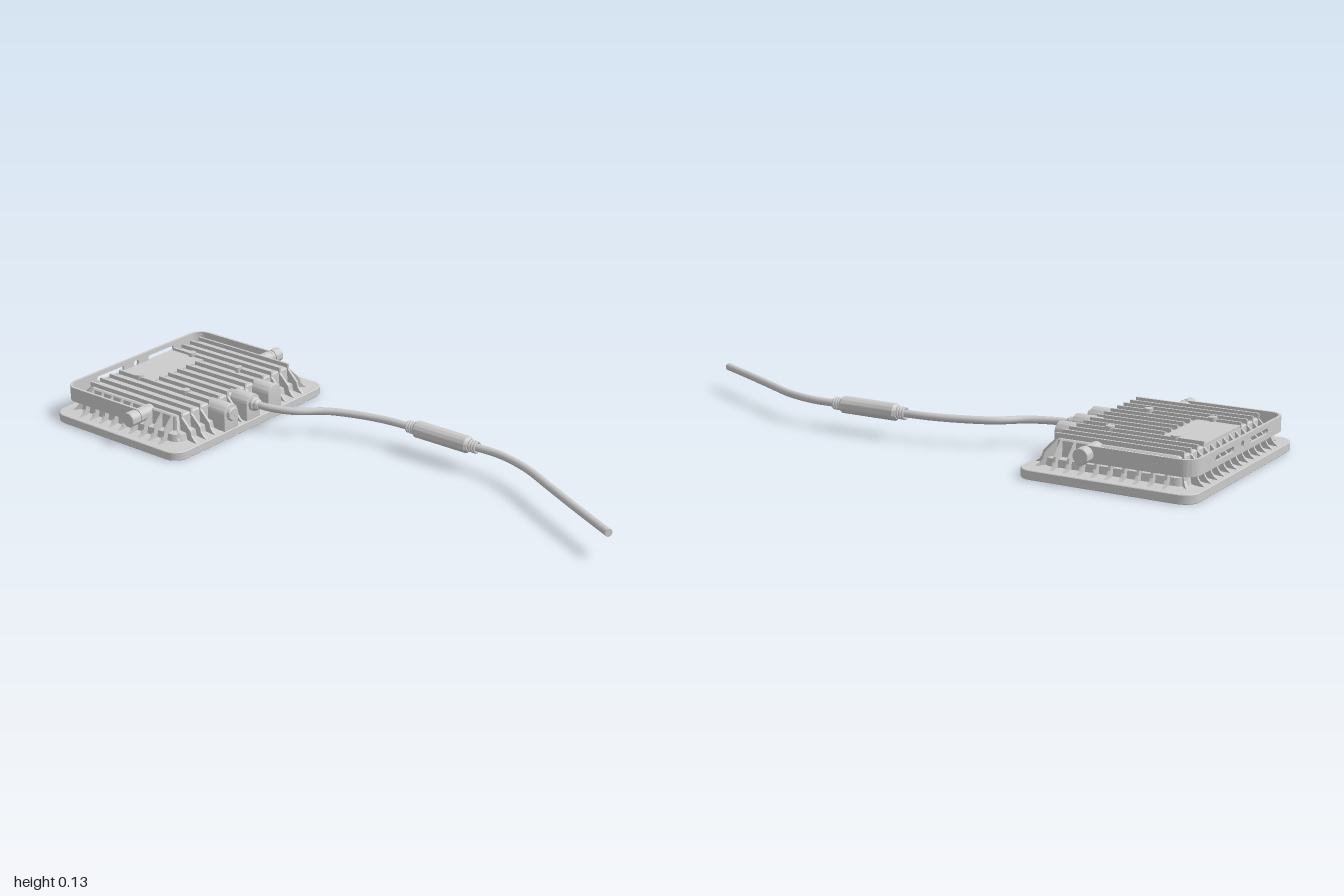
import * as THREE from 'three';
import { toCreasedNormals } from 'three/addons/utils/BufferGeometryUtils.js';

const CZ = -0.715; // centre of the lamp in z
const mat = new THREE.MeshStandardMaterial({ color: 0xcccccc, side: THREE.DoubleSide });

function add(parent, name, geometry, x = 0, y = 0, z = 0) {
  const m = new THREE.Mesh(geometry, mat);
  m.name = name;
  m.position.set(x, y, z);
  parent.add(m);
  return m;
}

// Skin through stacked rounded rectangles, each [halfX, halfZ, radius, y]
function loftRoundedRects(rings, seg = 6) {
  const pos = [], index = [], n = 4 * (seg + 1);
  for (const [hx, hz, r, y] of rings) {
    for (let c = 0; c < 4; c++) {
      const sx = c === 0 || c === 3 ? 1 : -1, sz = c < 2 ? 1 : -1;
      for (let k = 0; k <= seg; k++) {
        const a = (c + k / seg) * Math.PI / 2;
        pos.push(sx * (hx - r) + r * Math.cos(a), y, sz * (hz - r) + r * Math.sin(a));
      }
    }
  }
  for (let i = 0; i < rings.length - 1; i++) {
    for (let j = 0; j < n; j++) {
      const a = i * n + j, b = i * n + (j + 1) % n;
      index.push(a, a + n, b, b, a + n, b + n);
    }
  }
  const g = new THREE.BufferGeometry();
  g.setAttribute('position', new THREE.Float32BufferAttribute(pos, 3));
  g.setIndex(index);
  return toCreasedNormals(g, 0.6);
}

// Turned part from [radius, height] pairs, laid along +z
function turnedZ(points, seg = 28) {
  const g = new THREE.LatheGeometry(points.map(p => new THREE.Vector2(...p)), seg);
  return toCreasedNormals(g.rotateX(Math.PI / 2), 0.6);
}

function extrude(shape, depth, bevel = 0) {
  return new THREE.ExtrudeGeometry(shape, {
    depth, bevelEnabled: bevel > 0, bevelSize: bevel, bevelThickness: bevel, bevelSegments: 3, curveSegments: 14,
  });
}

function polygon(points) {
  return new THREE.Shape(points.map(p => new THREE.Vector2(...p)));
}

function slot(x, y, length, r) {
  const h = length / 2 - r, p = new THREE.Path();
  p.absarc(x + h, y, r, -Math.PI / 2, Math.PI / 2);
  p.absarc(x - h, y, r, Math.PI / 2, Math.PI * 1.5);
  p.closePath();
  return p;
}

function buildHousing() {
  const lamp = new THREE.Group();
  lamp.name = 'lampHousing';
  lamp.position.z = CZ;

  // Shell: shallow dished lens, frame lip, flange, stepped body, top
  add(lamp, 'housingShell', loftRoundedRects([
    [0.002, 0.002, 0.001, 0.034], [0.12, 0.08, 0.03, 0.033], [0.24, 0.165, 0.035, 0.028],
    [0.3, 0.217, 0.035, 0.02], [0.322, 0.236, 0.035, 0.012], [0.326, 0.239, 0.035, 0],
    [0.375, 0.283, 0.048, 0], [0.377, 0.285, 0.05, 0.002], [0.377, 0.285, 0.05, 0.027],
    [0.375, 0.283, 0.048, 0.029], [0.345, 0.256, 0.04, 0.029], [0.313, 0.233, 0.035, 0.032],
    [0.309, 0.229, 0.035, 0.055], [0.287, 0.209, 0.03, 0.058], [0.284, 0.207, 0.03, 0.106],
    [0.28, 0.203, 0.027, 0.11], [0.002, 0.002, 0.001, 0.11],
  ]));

  // Long cooling fins on top; the middle ones stop at a flat pad
  for (let i = -6; i <= 6; i++) {
    const back = Math.abs(i) <= 2 ? -0.06 : -0.207;
    const len = 0.21 - back;
    add(lamp, 'topFin', new THREE.BoxGeometry(0.008, 0.025, len), i * 0.0445, 0.1115, back + len / 2);
  }
  add(lamp, 'topPad', new THREE.BoxGeometry(0.262, 0.01, 0.145), 0, 0.11, -0.134);

  // Gusset fins around the walls, profile as [outward, up]
  const gusset = extrude(polygon([
    [-0.006, 0.03], [0.07, 0.028], [0.055, 0.038], [0.046, 0.05], [0.042, 0.066], [0.002, 0.106], [-0.006, 0.106],
  ]), 0.008).translate(0, 0, -0.004);
  const rib = (x, z, angle) => { add(lamp, 'wallFin', gusset, x, 0, z).rotation.y = angle; };
  for (const s of [-1, 1]) {
    for (let i = -4; i <= 4; i++) rib(s * 0.283, i * 0.045, s > 0 ? 0 : Math.PI);
    for (let i = -6; i <= 6; i++) rib(i * 0.0445, s * 0.206, -s * Math.PI / 2);
    for (const t of [-1, 1]) rib(s * 0.274, t * 0.197, Math.atan2(-t, s));
  }

  // Screws on top
  for (const x of [-0.13, 0.13]) {
    for (const z of [-0.115, 0.1]) {
      add(lamp, 'screwPost', new THREE.CylinderGeometry(0.01, 0.01, 0.02, 16), x, 0.115, z);
      add(lamp, 'screwHead', new THREE.CylinderGeometry(0.014, 0.014, 0.01, 20), x, 0.125, z);
    }
  }
  return lamp;
}

function buildCableEntries() {
  const entries = new THREE.Group();
  entries.name = 'cableEntries';
  // Arched blocks standing on the flange
  const arch = new THREE.Shape();
  arch.moveTo(-0.031, 0.028);
  arch.lineTo(0.031, 0.028);
  arch.lineTo(0.031, 0.084);
  arch.absarc(0, 0.084, 0.031, 0, Math.PI);
  arch.closePath();
  const block = toCreasedNormals(extrude(arch, 0.09, 0.002), 0.6);
  for (const x of [-0.11, 0, 0.11]) add(entries, 'entryBlock', block, x, 0, -0.525);

  // Slotted vent plug on one side
  add(entries, 'ventPlug', turnedZ([[0, 0], [0.023, 0], [0.023, 0.01], [0.02, 0.014], [0, 0.014]]), -0.11, 0.084, -0.435);
  add(entries, 'plugSlot', new THREE.BoxGeometry(0.034, 0.005, 0.004), -0.11, 0.084, -0.42).rotation.z = -0.7;
  // Gland in the middle
  add(entries, 'cableGland', turnedZ([
    [0, 0], [0.024, 0], [0.024, 0.012], [0.019, 0.016], [0.019, 0.024], [0.014, 0.031], [0, 0.031],
  ]), 0, 0.084, -0.435);
  return entries;
}

function buildBracket() {
  const bracket = new THREE.Group();
  bracket.name = 'mountingBracket';
  // Back strap with slots and holes
  const strap = polygon([[-0.285, 0.068], [0.285, 0.068], [0.285, 0.118], [-0.285, 0.118]]);
  strap.holes.push(slot(-0.125, 0.093, 0.13, 0.009), slot(0.125, 0.093, 0.13, 0.009), slot(0, 0.093, 0.024, 0.0119));
  add(bracket, 'backStrap', extrude(strap, 0.009), 0, 0, -0.984);

  // Bent arms: plan shape in x and -z, raised along y
  const arm = new THREE.Shape();
  arm.moveTo(0.285, 0.984);
  arm.absarc(0.285, 0.934, 0.05, Math.PI / 2, 0, true);
  arm.lineTo(0.335, 0.645);
  arm.lineTo(0.326, 0.645);
  arm.lineTo(0.326, 0.934);
  arm.absarc(0.285, 0.934, 0.041, 0, Math.PI / 2);
  arm.closePath();
  const armGeo = toCreasedNormals(extrude(arm, 0.05).rotateX(-Math.PI / 2), 0.6);

  for (const s of [-1, 1]) {
    const side = new THREE.Group();
    side.name = s > 0 ? 'leftArm' : 'rightArm';
    side.scale.x = s;
    add(side, 'arm', armGeo, 0, 0.068, 0);
    // Rounded end, pivot boss and knob
    const pivot = (name, pts) => { add(side, name, turnedZ(pts).rotateY(Math.PI / 2), 0, 0.093, -0.645); };
    pivot('armEnd', [[0, 0.326], [0.025, 0.326], [0.025, 0.335], [0, 0.335]]);
    pivot('pivotBoss', [[0, 0.27], [0.024, 0.27], [0.024, 0.327], [0, 0.327]]);
    pivot('pivotKnob', [
      [0, 0.334], [0.022, 0.334], [0.022, 0.339], [0.025, 0.34], [0.025, 0.374], [0.023, 0.376], [0, 0.376],
    ]);
    bracket.add(side);
  }
  return bracket;
}

function buildCable() {
  const cable = new THREE.Group();
  cable.name = 'powerCable';
  const y = 0.084, r = 0.0125;
  const lead = (name, pts) => {
    const curve = new THREE.CatmullRomCurve3(pts.map(([x, z]) => new THREE.Vector3(x, y, z)));
    add(cable, name, new THREE.TubeGeometry(curve, 60, r, 16));
    return curve;
  };
  lead('lampLead', [[0, -0.42], [0.006, -0.36], [0.035, -0.28], [0.1, -0.2], [0.14, -0.1], [0.163, 0], [0.17, 0.1]]);
  const tail = lead('tailLead', [[0.17, 0.34], [0.17, 0.44], [0.138, 0.56], [0.07, 0.695], [0, 0.83], [-0.082, 0.994]]);
  const dir = tail.getTangent(1);
  add(cable, 'leadEnd', new THREE.CircleGeometry(r, 16), -0.082, y, 0.994).rotation.y = Math.atan2(dir.x, dir.z);

  // Inline connector with ribbed strain reliefs
  add(cable, 'connectorBody', turnedZ([
    [0, -0.108], [0.021, -0.108], [0.028, -0.099], [0.028, 0.099], [0.021, 0.108], [0, 0.108],
  ]), 0.17, y, 0.222);
  for (const s of [-1, 1]) {
    add(cable, 'strainRelief', turnedZ([[0.016, -0.012], [0.016, 0.012]]), 0.17, y, 0.222 + s * 0.118);
    for (let i = 0; i < 3; i++) {
      add(cable, 'reliefRing', new THREE.TorusGeometry(0.017, 0.004, 8, 24), 0.17, y, 0.222 + s * (0.113 + i * 0.01));
    }
  }
  return cable;
}

export function createModel() {
  const model = new THREE.Group();
  model.name = 'floodlight';
  model.add(buildHousing(), buildCableEntries(), buildBracket(), buildCable());
  return model;
}
